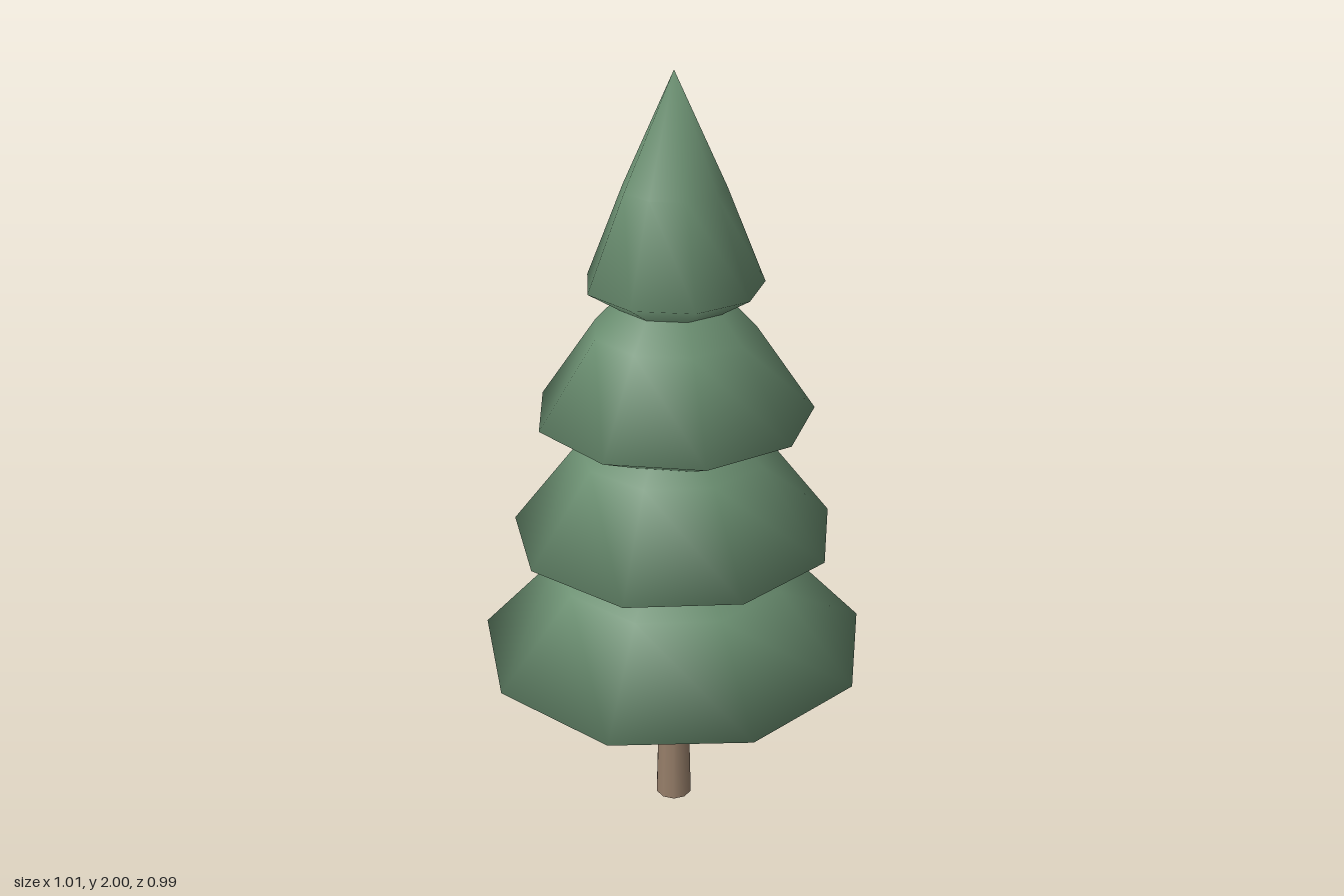
import * as THREE from 'three';
import { mergeVertices } from 'three/addons/utils/BufferGeometryUtils.js';

const SIDES = 9;

// Nine-sided lathe with normals smoothed over the whole surface, seam included
function smoothLathe(profile, turnDegrees) {
  const points = profile.map(([r, y]) => new THREE.Vector2(r, y));
  const lathe = new THREE.LatheGeometry(points, SIDES, THREE.MathUtils.degToRad(turnDegrees));
  lathe.deleteAttribute('uv');
  lathe.deleteAttribute('normal');
  const geometry = mergeVertices(lathe, 1e-4);
  geometry.computeVertexNormals();
  return geometry;
}

export function createModel() {
  const tree = new THREE.Group();
  tree.name = 'tree';

  const needles = new THREE.MeshStandardMaterial({ color: 0x6b8f71 });
  needles.name = 'needle green';
  const bark = new THREE.MeshStandardMaterial({ color: 0x967e69 });
  bark.name = 'bark brown';

  // Tapered trunk, its top hidden inside the lowest tier
  const trunk = new THREE.Mesh(new THREE.CylinderGeometry(0.036, 0.05, 0.52, 10), bark);
  trunk.name = 'trunk';
  trunk.position.y = 0.26;
  tree.add(trunk);

  // Branch tiers: open underside ring, rim, shoulder, tip (radius, height)
  const tiers = [
    { name: 'lowestTier', turn: 21.2, profile: [[0.13, 0.39], [0.511, 0.51], [0.305, 0.73], [0, 0.9]] },
    { name: 'lowerTier', turn: 22.5, profile: [[0.11, 0.725], [0.416, 0.84], [0.243, 1.065], [0, 1.25]] },
    { name: 'upperTier', turn: 11.5, profile: [[0.09, 1.04], [0.35, 1.17], [0.202, 1.385], [0, 1.6]] },
    { name: 'topTier', turn: 12.3, profile: [[0.06, 1.4], [0.219, 1.5], [0.125, 1.73], [0, 2]] },
  ];
  for (const { name, turn, profile } of tiers) {
    const tier = new THREE.Mesh(smoothLathe(profile, turn), needles);
    tier.name = name;
    tree.add(tier);
  }

  // Odd-sided rims sit slightly off the trunk axis, so shift to centre the whole
  tree.children.forEach((part) => { part.position.z = 0.012; });
  return tree;
}
